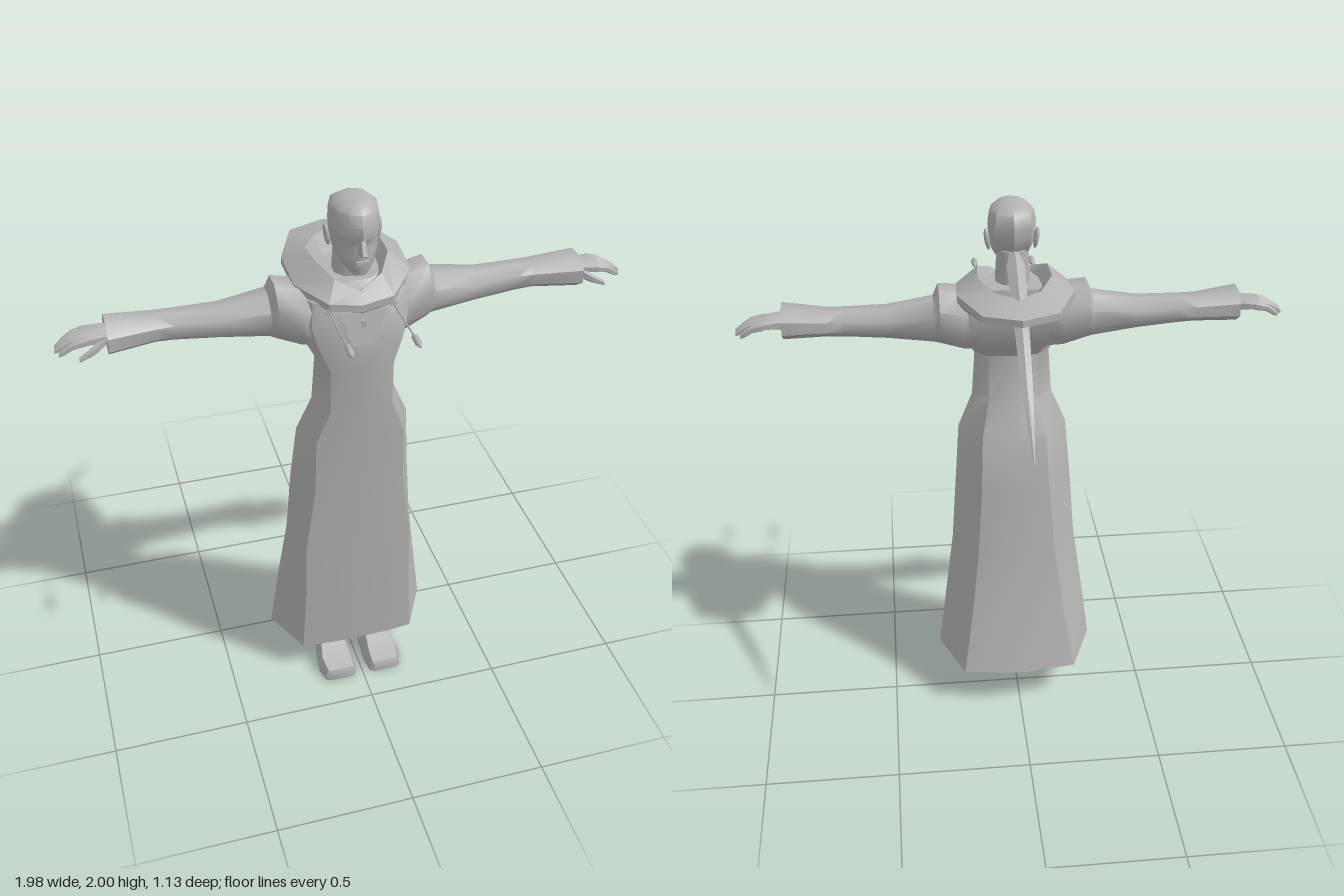
import * as THREE from 'three';
import { toCreasedNormals } from 'three/addons/utils/BufferGeometryUtils.js';

const grey = new THREE.MeshStandardMaterial({ color: 0xb2b2b2, side: THREE.DoubleSide });
grey.name = 'plain grey';

// Skin a series of closed rings ([x, y, z] points), facing outwards
function loft(rings, capA = true, capB = true, crease = 0.6) {
  const n = rings[0].length, pos = rings.flat(2), idx = [];
  for (let r = 0; r < rings.length - 1; r++) {
    for (let i = 0; i < n; i++) {
      const a = r * n + i, b = r * n + (i + 1) % n;
      idx.push(a, b, b + n, a, b + n, a + n);
    }
  }
  const last = (rings.length - 1) * n;
  for (let i = 1; i < n - 1; i++) {
    if (capA) idx.push(0, i + 1, i);
    if (capB) idx.push(last, last + i, last + i + 1);
  }
  // signed volume about the centroid decides the winding
  const c = new THREE.Vector3(), pts = rings.flat().map(p => new THREE.Vector3(...p));
  pts.forEach(p => c.addScaledVector(p, 1 / pts.length));
  pts.forEach(p => p.sub(c));
  let vol = 0;
  for (let i = 0; i < idx.length; i += 3) {
    vol += pts[idx[i]].dot(new THREE.Vector3().crossVectors(pts[idx[i + 1]], pts[idx[i + 2]]));
  }
  if (vol < 0) idx.reverse();
  const g = new THREE.BufferGeometry();
  g.setAttribute('position', new THREE.Float32BufferAttribute(pos, 3));
  g.setIndex(idx);
  return toCreasedNormals(g, crease);
}

// Full ring from its +x half, listed front centre to back centre
const mirrorRing = half => [...half, ...half.slice(1, -1).reverse().map(([x, y, z]) => [-x, y, z])];

// Rounded ring facing along x, used for sleeves and hands
function ringX(s, [x, y0, y1, z0, z1], n = 8) {
  const ring = [], k = 1 / Math.cos(Math.PI / n);
  for (let i = 0; i < n; i++) {
    const a = (i + 0.5) / n * Math.PI * 2;
    ring.push([s * x, (y0 + y1) / 2 + Math.sin(a) * k * (y1 - y0) / 2,
      (z0 + z1) / 2 + Math.cos(a) * k * (z1 - z0) / 2]);
  }
  return ring;
}

export function createModel() {
  const model = new THREE.Group();
  model.name = 'robedFigure';
  const add = (name, geo, x = 0, y = 0, z = 0) => {
    const m = new THREE.Mesh(geo, grey);
    m.name = name;
    m.position.set(x, y, z);
    model.add(m);
    return m;
  };

  // Robe: y, front corner x, front z, side x, side z, back corner x, back corner z, back centre z
  const robe = [
    [0.12, 0.22, 0.30, 0.31, 0.12, 0.22, -0.12, -0.15],
    [0.40, 0.205, 0.303, 0.275, 0.13, 0.18, -0.05, -0.08],
    [0.64, 0.20, 0.305, 0.242, 0.15, 0.15, 0.0, -0.015],
    [0.90, 0.165, 0.308, 0.223, 0.16, 0.13, 0.04, 0.02],
    [1.12, 0.16, 0.312, 0.205, 0.19, 0.12, 0.08, 0.06],
    [1.25, 0.11, 0.32, 0.15, 0.20, 0.09, 0.145, 0.13],
    [1.42, 0.11, 0.325, 0.138, 0.20, 0.09, 0.16, 0.15],
    [1.50, 0.145, 0.328, 0.18, 0.18, 0.13, 0.09, 0.08],
    [1.58, 0.165, 0.312, 0.22, 0.17, 0.16, 0.06, 0.05],
    [1.66, 0.155, 0.29, 0.22, 0.16, 0.16, 0.055, 0.045],
    [1.72, 0.08, 0.25, 0.14, 0.16, 0.10, 0.06, 0.06],
  ];
  add('robe', loft(robe.map(([y, fx, fz, sx, sz, bx, bz, b0], r) => {
    const hem = z => y + (r === 0 ? 0.09 * (0.3 - z) : 0);
    const corner = fz - (y > 1.45 ? 0.035 : 0.012);
    return mirrorRing([[0, hem(fz), fz], [fx * 0.6, hem(fz), fz - 0.004], [fx, hem(corner), corner],
      [sx, hem(sz), sz], [bx, hem(bz), bz], [0, hem(b0), b0]]);
  }), false, true, 0.6));

  // Chest flap
  const flap = new THREE.Shape([[-0.08, 0.115], [-0.045, 0.01], [-0.03, 0], [0.03, 0], [0.045, 0.01], [0.08, 0.115]]
    .map(p => new THREE.Vector2(...p)));
  add('chestFlap', new THREE.ExtrudeGeometry(flap, { depth: 0.006, bevelEnabled: false }), 0, 1.52, 0.328)
    .rotation.x = -0.25;
  add('clasp', new THREE.BoxGeometry(0.016, 0.025, 0.012), 0, 1.595, 0.316);

  // Folded hood: base, lower rim, upper rim, opening edge, inside
  const rim = [[0, 1.66, 0.312], [0.11, 1.67, 0.295], [0.2, 1.70, 0.19], [0.205, 1.72, 0.03],
    [0.13, 1.72, -0.15], [0, 1.72, -0.2]];
  add('hood', loft([
    [[0, 1.62, 0.30], [0.1, 1.64, 0.28], [0.19, 1.66, 0.17], [0.18, 1.65, 0.06], [0.1, 1.64, 0.04], [0, 1.635, 0.04]],
    rim.map(([x, y, z]) => [x, y - 0.025, z]),
    rim,
    [[0, 1.695, 0.28], [0.08, 1.735, 0.25], [0.125, 1.77, 0.17], [0.13, 1.765, 0.07], [0.08, 1.75, -0.03], [0, 1.75, -0.09]],
    [[0, 1.685, 0.23], [0.06, 1.70, 0.22], [0.08, 1.70, 0.17], [0.08, 1.69, 0.1], [0.05, 1.69, 0], [0, 1.69, -0.04]],
  ].map(mirrorRing), false, false, 0.5));

  // Neck and head: y, half width, front z, back z
  add('neck', new THREE.CylinderGeometry(0.057, 0.068, 0.2, 10), 0, 1.74, 0.16);
  const skull = [
    [1.757, 0.028, 0.288, 0.235], [1.79, 0.056, 0.298, 0.17], [1.83, 0.073, 0.298, 0.115],
    [1.865, 0.08, 0.292, 0.095], [1.89, 0.083, 0.305, 0.086], [1.93, 0.085, 0.303, 0.083],
    [1.97, 0.078, 0.29, 0.095], [1.99, 0.055, 0.265, 0.125], [2.0, 0.025, 0.23, 0.165],
  ];
  add('head', loft(skull.map(([y, w, f, b]) => {
    const at = t => b + (f - b) * t;
    return mirrorRing([[0, y, f], [0.48 * w, y, at(0.93)], [0.86 * w, y, at(0.72)], [w, y, at(0.45)],
      [0.75 * w, y, at(0.13)], [0, y, b]]);
  }), true, true, 0.7));
  add('nose', loft([
    [[-0.006, 1.89, 0.303], [0.006, 1.89, 0.303], [0.006, 1.89, 0.28], [-0.006, 1.89, 0.28]],
    [[-0.008, 1.845, 0.327], [0.008, 1.845, 0.327], [0.018, 1.845, 0.28], [-0.018, 1.845, 0.28]],
    [[-0.008, 1.836, 0.316], [0.008, 1.836, 0.316], [0.016, 1.834, 0.28], [-0.016, 1.834, 0.28]],
  ]));
  add('mouth', new THREE.BoxGeometry(0.042, 0.012, 0.02), 0, 1.808, 0.293);

  // Ponytail: y, z, half width, half thickness
  const tail = [[1.845, 0.085, 0.018, 0.014], [1.82, 0.04, 0.032, 0.022], [1.74, -0.08, 0.028, 0.02],
    [1.645, -0.21, 0.024, 0.014], [1.54, -0.33, 0.02, 0.009], [1.475, -0.43, 0.013, 0.007], [1.38, -0.565, 0.002, 0.002]];
  add('ponytail', loft(tail.map(([y, z, w, t]) =>
    [[w, y, z], [0, y + 0.8 * t, z - 0.55 * t], [-w, y, z], [0, y - 0.8 * t, z + 0.55 * t]])));

  for (const s of [1, -1]) {
    const side = s > 0 ? 'left' : 'right';

    // Sleeve with a shoulder ridge and a hollow cuff: x, y range, z range
    add(side + 'Sleeve', loft([
      [0.12, 1.47, 1.69, 0.07, 0.26], [0.18, 1.475, 1.69, 0.06, 0.265], [0.265, 1.505, 1.705, 0.06, 0.24],
      [0.285, 1.51, 1.665, 0.07, 0.22], [0.45, 1.53, 1.64, 0.085, 0.205], [0.60, 1.543, 1.64, 0.09, 0.195],
      [0.66, 1.547, 1.64, 0.085, 0.2], [0.82, 1.54, 1.655, 0.08, 0.235], [0.82, 1.55, 1.645, 0.09, 0.225],
      [0.80, 1.57, 1.625, 0.11, 0.2],
    ].map(r => ringX(s, r)), true, true, 0.85));

    // Hand
    add(side + 'Palm', loft([
      [0.77, 1.575, 1.615, 0.125, 0.185], [0.83, 1.575, 1.627, 0.106, 0.197], [0.9, 1.578, 1.617, 0.098, 0.202],
    ].map(r => ringX(s, r)), true, true, 0.9));
    [[0.111, 0.08], [0.137, 0.098], [0.163, 0.1], [0.189, 0.088]].forEach(([z, len], i) => {
      const seg = (t, y, h) => ringX(s, [0.885 + t * len, y - h, y + h, z - h, z + h], 6);
      add(side + 'Finger' + (i + 1),
        loft([seg(0, 1.598, 0.014), seg(0.5, 1.59, 0.0125), seg(0.85, 1.572, 0.011), seg(1.03, 1.563, 0.007)]));
    });
    add(side + 'Thumb', loft([
      [0.825, 1.575, 1.61, 0.165, 0.2], [0.865, 1.555, 1.585, 0.19, 0.217], [0.915, 1.538, 1.554, 0.202, 0.218],
    ].map(r => ringX(s, r, 6))));

    // Ear
    const ear = add(side + 'Ear', new THREE.SphereGeometry(1, 8, 6), s * 0.087, 1.865, 0.18);
    ear.scale.set(0.01, 0.04, 0.022);
    ear.rotation.z = -s * 0.15;

    // Drawstring with eyelet and bead
    add(side + 'Eyelet', new THREE.TorusGeometry(0.009, 0.003, 6, 10), s * 0.11, 1.64, 0.292);
    add(side + 'Drawstring', new THREE.CylinderGeometry(0.003, 0.003, 0.23, 6), s * 0.11, 1.64, 0.385)
      .rotation.x = Math.PI / 2;
    const bead = [[0.003, 0], [0.011, 0.015], [0.012, 0.05], [0.004, 0.075], [0, 0.075]];
    add(side + 'Bead', new THREE.LatheGeometry(bead.map(p => new THREE.Vector2(...p)), 8), s * 0.11, 1.64, 0.492)
      .rotation.x = Math.PI / 2;

    // Leg and shoe: z, inner and outer x at the sole, inner and outer x on top, top y
    add(side + 'Leg', new THREE.CylinderGeometry(0.062, 0.042, 0.6, 8), s * 0.09, 0.38, 0.115);
    add(side + 'Shoe', loft([
      [0.05, 0.04, 0.125, 0.05, 0.118, 0.13], [0.15, 0.035, 0.135, 0.05, 0.125, 0.135],
      [0.21, 0.028, 0.15, 0.05, 0.13, 0.1], [0.32, 0.022, 0.165, 0.04, 0.15, 0.06],
      [0.375, 0.03, 0.152, 0.04, 0.14, 0.045], [0.385, 0.045, 0.135, 0.05, 0.13, 0.03],
    ].map(([z, a, b, c, d, h]) => [[s * a, 0, z], [s * b, 0, z], [s * b, h * 0.45, z], [s * d, h, z],
      [s * c, h, z], [s * a, h * 0.45, z]])));
  }
  return model;
}
